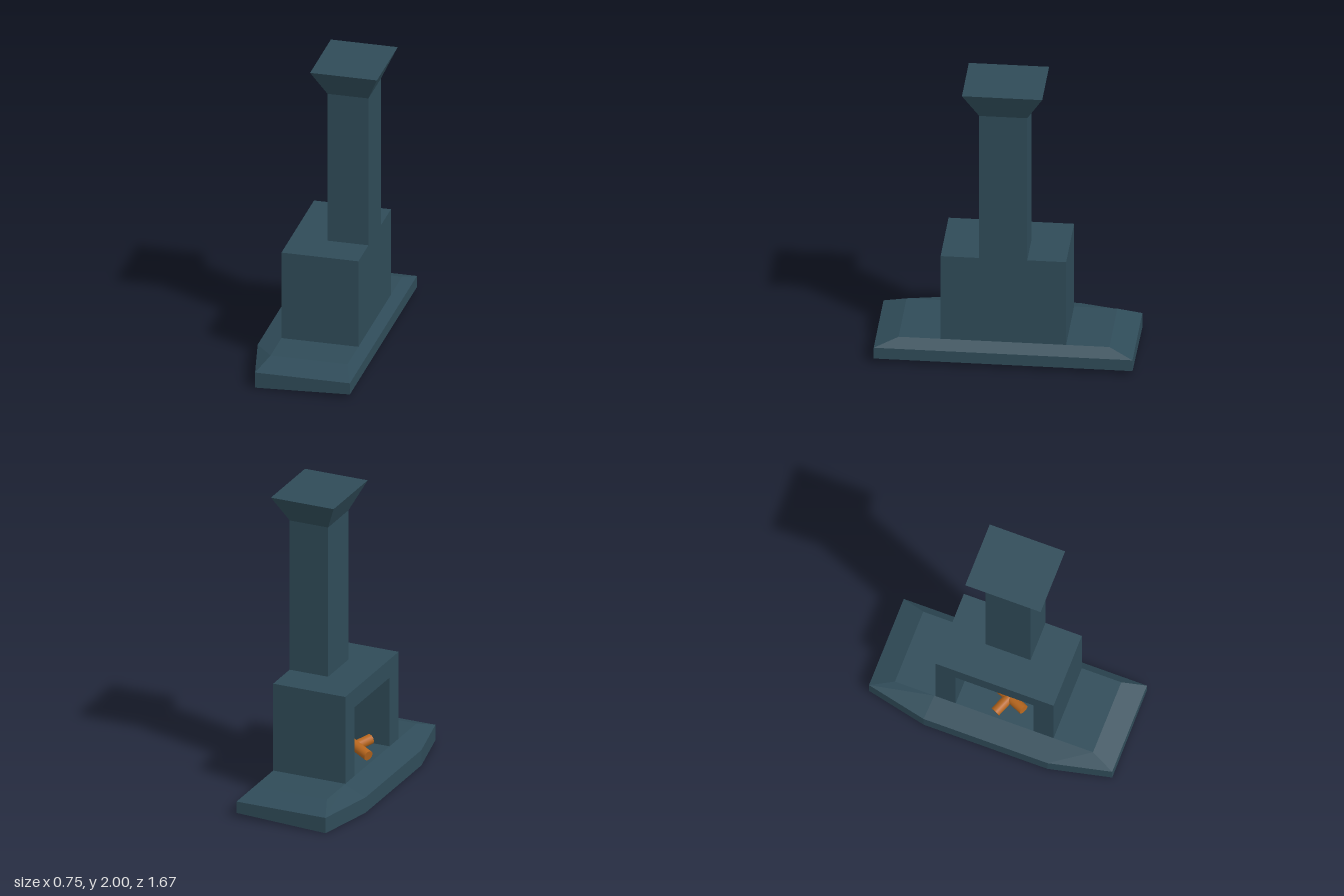
import * as THREE from 'three';

// Closed faceted solid through rings of [x, y, z] points (bottom to top, each running +z along its -x side)
function loft(rings) {
  const v = [];
  const n = rings[0].length;
  const tri = (a, b, c) => v.push(...a, ...b, ...c);
  for (let r = 0; r < rings.length - 1; r++) {
    const lo = rings[r], hi = rings[r + 1];
    for (let i = 0; i < n; i++) {
      const j = (i + 1) % n;
      tri(lo[i], lo[j], hi[j]);
      tri(lo[i], hi[j], hi[i]);
    }
  }
  const bottom = rings[0], top = rings[rings.length - 1];
  for (let i = 1; i < n - 1; i++) {
    tri(bottom[0], bottom[i + 1], bottom[i]);
    tri(top[0], top[i], top[i + 1]);
  }
  const g = new THREE.BufferGeometry();
  g.setAttribute('position', new THREE.Float32BufferAttribute(v, 3));
  g.computeVertexNormals();
  return g;
}

const rect = (x0, x1, z0, z1, y) => [[x0, y, z0], [x0, y, z1], [x1, y, z1], [x1, y, z0]];

// Six-sided plinth outline: the hearth side bows out towards -x
const plinthRing = (xBow, zBow, xLeft, xRight, zEnd, yLeft, yRight = yLeft) => [
  [xLeft, yLeft, -zEnd], [xBow, yLeft, -zBow], [xBow, yLeft, zBow],
  [xLeft, yLeft, zEnd], [xRight, yRight, zEnd], [xRight, yRight, -zEnd],
];

export function createModel() {
  const model = new THREE.Group();
  model.name = 'fireplace';
  const stone = new THREE.MeshStandardMaterial({ color: 0x2f4b58 });
  stone.name = 'slate blue stone';
  const wood = new THREE.MeshStandardMaterial({ color: 0xb5651d });
  wood.name = 'orange brown wood';

  const add = (name, geometry, material = stone) => {
    const mesh = new THREE.Mesh(geometry, material);
    mesh.name = name;
    model.add(mesh);
    return mesh;
  };

  // Plinth with sloping underside and bevelled top
  add('plinth', loft([
    plinthRing(-0.377, 0.425, -0.285, 0.345, 0.835, 0, 0.028),
    plinthRing(-0.377, 0.425, -0.285, 0.345, 0.835, 0.107),
    plinthRing(-0.223, 0.41, -0.223, 0.288, 0.68, 0.165),
  ]));

  // Firebox: arch open towards -x, closed by a back wall
  const floor = 0.165, top = 0.772, halfW = 0.405, openW = 0.267, openTop = 0.645;
  const arch = new THREE.Shape([
    [-halfW, floor], [-openW, floor], [-openW, openTop], [openW, openTop],
    [openW, floor], [halfW, floor], [halfW, top], [-halfW, top],
  ].map(([x, y]) => new THREE.Vector2(x, y)));
  const archGeometry = new THREE.ExtrudeGeometry(arch, { depth: 0.383, bevelEnabled: false });
  archGeometry.rotateY(Math.PI / 2);
  add('fireboxSurround', archGeometry).position.set(-0.223, 0, 0.004);
  add('fireboxBack', new THREE.BoxGeometry(0.128, top - floor, halfW * 2))
    .position.set(0.224, (floor + top) / 2, 0.004);

  // Chimney stack and flared cap
  const stack = (y) => rect(0.016, 0.288, -0.15, 0.16, y);
  add('chimneyStack', loft([stack(top), stack(1.815)]));
  add('chimneyCap', loft([stack(1.815), rect(-0.072, 0.372, -0.255, 0.263, 2)]));

  // Two crossed logs on the hearth
  const addLog = (name, from, to) => {
    const a = new THREE.Vector3(...from), b = new THREE.Vector3(...to);
    const dir = b.clone().sub(a);
    const log = add(name, new THREE.CylinderGeometry(0.034, 0.034, dir.length(), 16), wood);
    log.position.copy(a).add(b).multiplyScalar(0.5);
    log.quaternion.setFromUnitVectors(new THREE.Vector3(0, 1, 0), dir.normalize());
  };
  addLog('upperLog', [-0.2, 0.2, 0], [0.07, 0.265, 0.12]);
  addLog('lowerLog', [-0.135, 0.24, 0.17], [-0.01, 0.205, -0.1]);

  return model;
}
